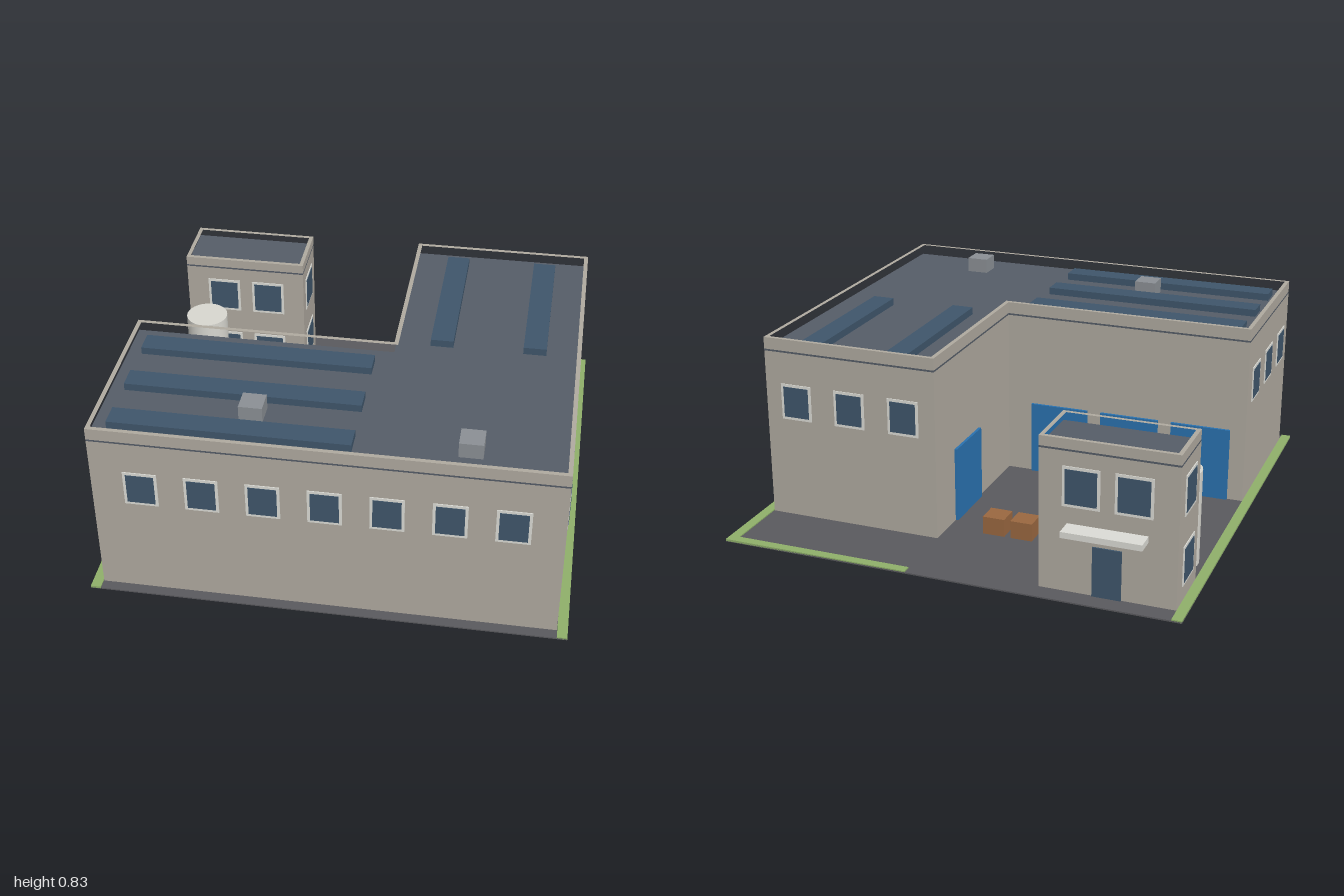
import * as THREE from 'three';

const mat = (color) => new THREE.MeshStandardMaterial({ color, flatShading: true });
const MATS = {
  asphalt: mat(0x5a5a5e), grass: mat(0x8fb06a), wall: mat(0xb0aaa0), roof: mat(0x565d68),
  glass: mat(0x3f566b), frame: mat(0xdcdcd6), door: mat(0x2a72b0), vent: mat(0x8b9095),
  crate: mat(0x9a6840),
};

export function createModel() {
  const model = new THREE.Group();
  model.name = 'factory';

  const add = (name, geometry, material, parent = model) => {
    const mesh = new THREE.Mesh(geometry, material);
    mesh.name = name;
    parent.add(mesh);
    return mesh;
  };

  // Box given by its extents on each axis
  const block = (name, material, [x0, x1], [y0, y1], [z0, z1]) => {
    const mesh = add(name, new THREE.BoxGeometry(x1 - x0, y1 - y0, z1 - z0), material);
    mesh.position.set((x0 + x1) / 2, (y0 + y1) / 2, (z0 + z1) / 2);
    return mesh;
  };

  // Upright prism over a ground plan of [x, z] corners, optionally hollow
  const toPoints = (plan) => plan.map(([x, z]) => new THREE.Vector2(x, -z));
  const prism = (name, material, plan, y0, y1, hole) => {
    const shape = new THREE.Shape(toPoints(plan));
    if (hole) shape.holes.push(new THREE.Path(toPoints(hole)));
    const geometry = new THREE.ExtrudeGeometry(shape, { depth: y1 - y0, bevelEnabled: false });
    geometry.rotateX(-Math.PI / 2).translate(0, y0, 0);
    return add(name, geometry, material);
  };

  // Walls, roof slab and parapet of one building
  const building = (name, plan, inner, roofY, topY) => {
    prism(name + 'Walls', MATS.wall, plan, 0.006, roofY - 0.005, null);
    prism(name + 'Roof', MATS.roof, plan, roofY - 0.005, roofY + 0.003, null);
    prism(name + 'Parapet', MATS.wall, plan, roofY + 0.003, topY, inner);
  };

  // Framed window on a wall; turn is the wall's heading around y (0 faces +z)
  const addWindow = (x, y, z, turn, w, h) => {
    const group = new THREE.Group();
    group.name = 'window';
    add('windowFrame', new THREE.BoxGeometry(w, h, 0.008), MATS.frame, group);
    add('windowGlass', new THREE.BoxGeometry(w - 0.024, h - 0.024, 0.012), MATS.glass, group);
    group.position.set(x, y, z);
    group.rotation.y = turn;
    model.add(group);
  };
  const FRONT = 0, LEFT = Math.PI / 2, BACK = Math.PI, RIGHT = -Math.PI / 2;

  // Yard with grass borders
  block('yard', MATS.asphalt, [-1, 1], [0, 0.006], [-1, 1]);
  block('grassRight', MATS.grass, [-1, -0.957], [0.002, 0.011], [-1, 1]);
  block('grassLeft', MATS.grass, [0.957, 1], [0.002, 0.011], [-1, 1]);
  block('grassBack', MATS.grass, [0.165, 0.957], [0.002, 0.011], [-1, -0.96]);

  // L-shaped hall
  building('hall',
    [[-0.955, 0.167], [0.167, 0.167], [0.167, -0.665], [0.955, -0.665], [0.955, 0.955], [-0.955, 0.955]],
    [[-0.937, 0.185], [0.185, 0.185], [0.185, -0.647], [0.937, -0.647], [0.937, 0.937], [-0.937, 0.937]],
    0.76, 0.815);
  const hallWindow = (x, z, turn) => addWindow(x, 0.535, z, turn, 0.14, 0.16);
  for (let i = 0; i < 7; i++) hallWindow(-0.75 + i * 0.25, 0.955, FRONT);
  for (let i = 0; i < 6; i++) hallWindow(0.955, 0.773 - i * 0.25, LEFT);
  for (const c of [0.3125, 0.5625, 0.8125]) {
    hallWindow(c, -0.665, BACK);
    hallWindow(-0.955, c, RIGHT);
  }

  // Loading doors facing the yard
  for (const x of [-0.75, -0.418, -0.083])
    block('loadingDoor', MATS.door, [x - 0.135, x + 0.135], [0.006, 0.34], [0.155, 0.17]);
  block('loadingDoor', MATS.door, [0.155, 0.17], [0.006, 0.34], [-0.47, -0.2]);

  // Skylights and vents on the hall roof
  for (const z of [0.295, 0.56, 0.822])
    block('skylight', MATS.glass, [-0.895, 0.095], [0.76, 0.795], [z - 0.049, z + 0.049]);
  for (const x of [0.363, 0.76])
    block('skylight', MATS.glass, [x - 0.049, x + 0.049], [0.76, 0.795], [-0.6, 0.095]);
  for (const [x, z] of [[-0.336, 0.69], [0.56, 0.79]])
    block('roofVent', MATS.vent, [x - 0.049, x + 0.049], [0.76, 0.83], [z - 0.049, z + 0.049]);

  // Two-storey office
  const rect = (x0, x1, z0, z1) => [[x0, z0], [x1, z0], [x1, z1], [x0, z1]];
  building('office', rect(-0.955, -0.385, -0.917, -0.635), rect(-0.937, -0.403, -0.899, -0.653), 0.612, 0.657);
  for (const y of [0.16, 0.46]) {
    addWindow(-0.385, y, -0.77, LEFT, 0.155, 0.17);
    addWindow(-0.955, y, -0.77, RIGHT, 0.155, 0.17);
    for (const x of [-0.775, -0.56]) {
      addWindow(x, y, -0.635, FRONT, 0.155, 0.17);
      if (y > 0.3) addWindow(x, y, -0.917, BACK, 0.155, 0.17);
    }
  }
  block('officeDoor', MATS.glass, [-0.73, -0.61], [0.006, 0.22], [-0.924, -0.915]);
  block('doorCanopy', MATS.frame, [-0.835, -0.503], [0.277, 0.303], [-1, -0.915]);

  // Storage tank
  const tankMaterial = new THREE.MeshStandardMaterial({ color: 0xd8d7d0 });
  add('storageTank', new THREE.CylinderGeometry(0.097, 0.097, 0.416, 32), tankMaterial)
    .position.set(-0.835, 0.214, -0.503);

  // Crates in the yard
  for (const x of [-0.17, -0.044])
    block('crate', MATS.crate, [x - 0.049, x + 0.049], [0.006, 0.085], [-0.552, -0.455]);

  return model;
}
